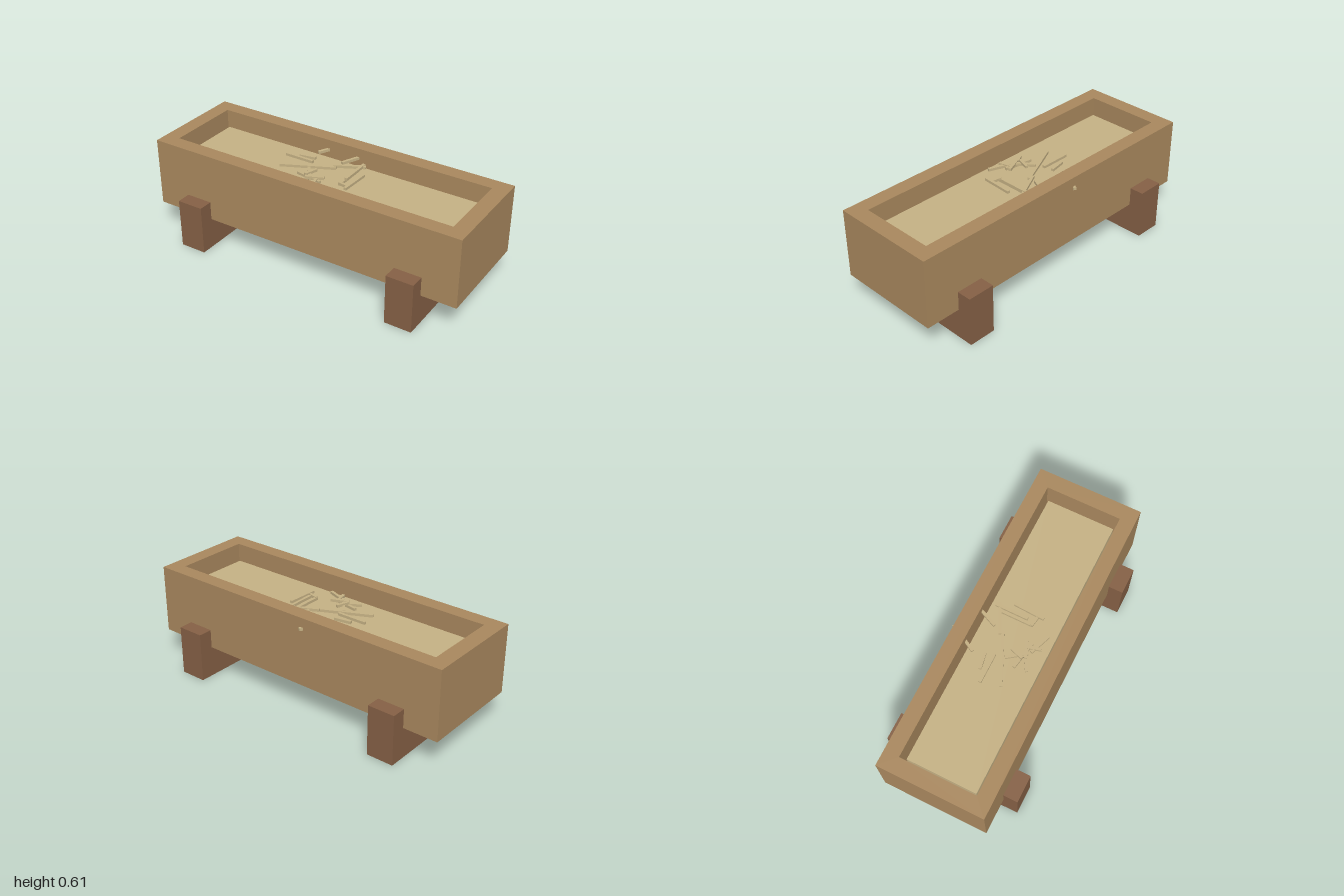
import * as THREE from 'three';

export function createModel() {
  const model = new THREE.Group();
  model.name = 'feedingTrough';

  const material = (name, color) => {
    const m = new THREE.MeshStandardMaterial({ color });
    m.name = name;
    return m;
  };
  const wood = material('light wood', 0xa9885e);
  const darkWood = material('dark wood', 0x856045);
  const hay = material('hay', 0xc5b184);

  const add = (name, geometry, mat, x, y, z, parent = model) => {
    const mesh = new THREE.Mesh(geometry, mat);
    mesh.name = name;
    mesh.position.set(x, y, z);
    parent.add(mesh);
    return mesh;
  };
  const box = (w, h, d) => new THREE.BoxGeometry(w, h, d);
  const rectangle = (PathType, hx, hz) => new PathType([
    new THREE.Vector2(-hx, -hz), new THREE.Vector2(hx, -hz),
    new THREE.Vector2(hx, hz), new THREE.Vector2(-hx, hz),
  ]);

  // Trough: a rectangular ring of walls around a solid bottom
  const bottomY = 0.19, topY = 0.613, floorY = 0.28;
  const outline = rectangle(THREE.Shape, 1, 0.323);
  outline.holes.push(rectangle(THREE.Path, 0.905, 0.232));
  const walls = new THREE.ExtrudeGeometry(outline, { depth: topY - bottomY, bevelEnabled: false });
  walls.rotateX(-Math.PI / 2);
  add('troughWalls', walls, wood, 0, bottomY, 0);
  add('troughBottom', box(1.81, floorY - bottomY, 0.464), wood, 0, (bottomY + floorY) / 2, 0);

  // Bearer beams, let into the trough and rising beside it
  for (const side of [-1, 1]) {
    add(side > 0 ? 'leftBearer' : 'rightBearer', box(0.166, 0.306, 0.822), darkWood, side * 0.705, 0.153, 0);
  }

  // Hay bed, with a narrow gap to the walls
  add('hayBed', box(1.76, 0.23, 0.424), hay, 0, 0.395, 0);

  // Loose stalks: x and z of both ends, and height
  const stalks = [
    [-0.18, -0.17, -0.09, -0.338, 0.548], [0.01, -0.13, 0.06, -0.24, 0.55],
    [-0.255, -0.087, -0.155, -0.105, 0.545], [-0.326, -0.052, -0.14, -0.052, 0.55],
    [-0.294, 0.064, 0.005, -0.075, 0.54], [-0.02, -0.08, 0.15, -0.166, 0.546],
    [0.13, -0.18, 0.13, 0.02, 0.55], [0.183, -0.09, 0.173, 0.1, 0.54],
    [0.113, -0.14, 0.113, 0.06, 0.53], [0.107, 0.053, 0.177, 0.065, 0.535],
    [-0.13, 0.006, -0.053, 0.112, 0.54], [-0.07, 0.016, -0.096, 0.096, 0.55],
    [-0.16, 0.074, 0.012, 0.107, 0.535], [-0.086, 0.112, 0.016, 0.07, 0.545],
    [-0.07, 0.102, -0.15, 0.15, 0.53], [-0.022, 0.086, 0, 0.17, 0.54],
    [-0.037, 0.123, 0.09, 0.17, 0.535],
  ];
  const stalkGroup = new THREE.Group();
  stalkGroup.name = 'looseStalks';
  model.add(stalkGroup);
  for (const [x1, z1, x2, z2, y] of stalks) {
    const length = Math.hypot(x2 - x1, z2 - z1);
    const stalk = add('stalk', box(length, 0.016, 0.017), hay, (x1 + x2) / 2, y, (z1 + z2) / 2, stalkGroup);
    stalk.rotation.y = -Math.atan2(z2 - z1, x2 - x1);
  }

  return model;
}
